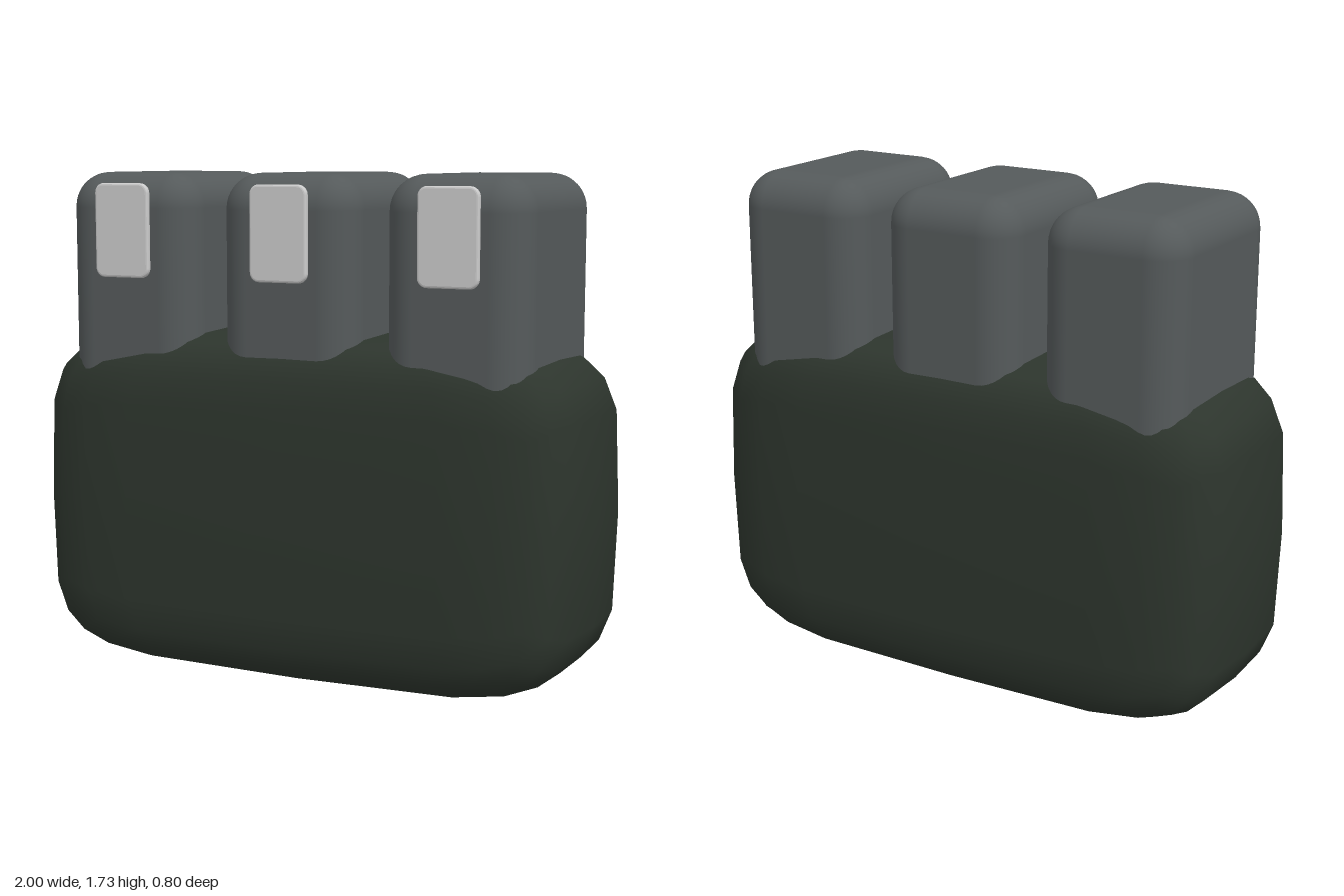
import * as THREE from 'three';
import { mergeVertices } from 'three/addons/utils/BufferGeometryUtils.js';
import { RoundedBoxGeometry } from 'three/addons/geometries/RoundedBoxGeometry.js';

const material = (name, color) => {
  const m = new THREE.MeshStandardMaterial({ color });
  m.name = name;
  return m;
};

// Box whose grid is pulled onto a boxy superellipsoid, with smooth shared normals
function softBox(hx, hy, hz) {
  const power = 5;
  const steps = [0, 0.59, 0.81, 1];
  let geo = new THREE.BoxGeometry(2, 2, 2, 6, 6, 6);
  geo.deleteAttribute('normal');
  geo.deleteAttribute('uv');
  geo = mergeVertices(geo);
  const pos = geo.attributes.position;
  for (let i = 0; i < pos.count; i++) {
    const p = [pos.getX(i), pos.getY(i), pos.getZ(i)].map(
      (v) => Math.sign(v) * steps[Math.round(Math.abs(v) * 3)]
    );
    const length = p.reduce((sum, v) => sum + Math.abs(v) ** power, 0) ** (1 / power);
    pos.setXYZ(i, (p[0] / length) * hx, (p[1] / length) * hy, (p[2] / length) * hz);
  }
  geo.computeVertexNormals();
  return geo;
}

// Thin plate with rounded corners and edges, centred on its origin
function plateGeometry(width, height, depth, radius) {
  const bevel = 0.008;
  const x = width / 2 - bevel, y = height / 2 - bevel, r = radius;
  const s = new THREE.Shape();
  s.absarc(x - r, y - r, r, 0, Math.PI / 2);
  s.absarc(-x + r, y - r, r, Math.PI / 2, Math.PI);
  s.absarc(-x + r, -y + r, r, Math.PI, Math.PI * 1.5);
  s.absarc(x - r, -y + r, r, Math.PI * 1.5, Math.PI * 2);
  s.closePath();
  const geo = new THREE.ExtrudeGeometry(s, {
    depth: depth - 2 * bevel, bevelSize: bevel, bevelThickness: bevel,
    bevelSegments: 3, curveSegments: 5,
  });
  return geo.center();
}

export function createModel() {
  const model = new THREE.Group();
  const add = (name, geo, mat, x, y, z) => {
    const mesh = new THREE.Mesh(geo, mat);
    mesh.name = name;
    mesh.position.set(x, y, z);
    model.add(mesh);
  };

  const darkGreen = material('dark green', 0x2d352d);
  const grey = material('grey', 0x555a5b);
  const lightGrey = material('light grey', 0xcccccc);

  // Rounded main body
  add('body', softBox(1, 0.6, 0.4), darkGreen, 0, 0.6, 0);

  // Three upright blocks sunk into the body, each with a front plate
  const block = new RoundedBoxGeometry(0.5, 1, 0.69, 5, 0.12);
  const plate = plateGeometry(0.21, 0.32, 0.022, 0.025);
  ['right', 'middle', 'left'].forEach((side, i) => {
    const x = (i - 1) * 0.6;
    add(side + 'Block', block, grey, x, 1.233, 0);
    add(side + 'Plate', plate, lightGrey, x, 1.537, 0.356);
  });

  return model;
}
